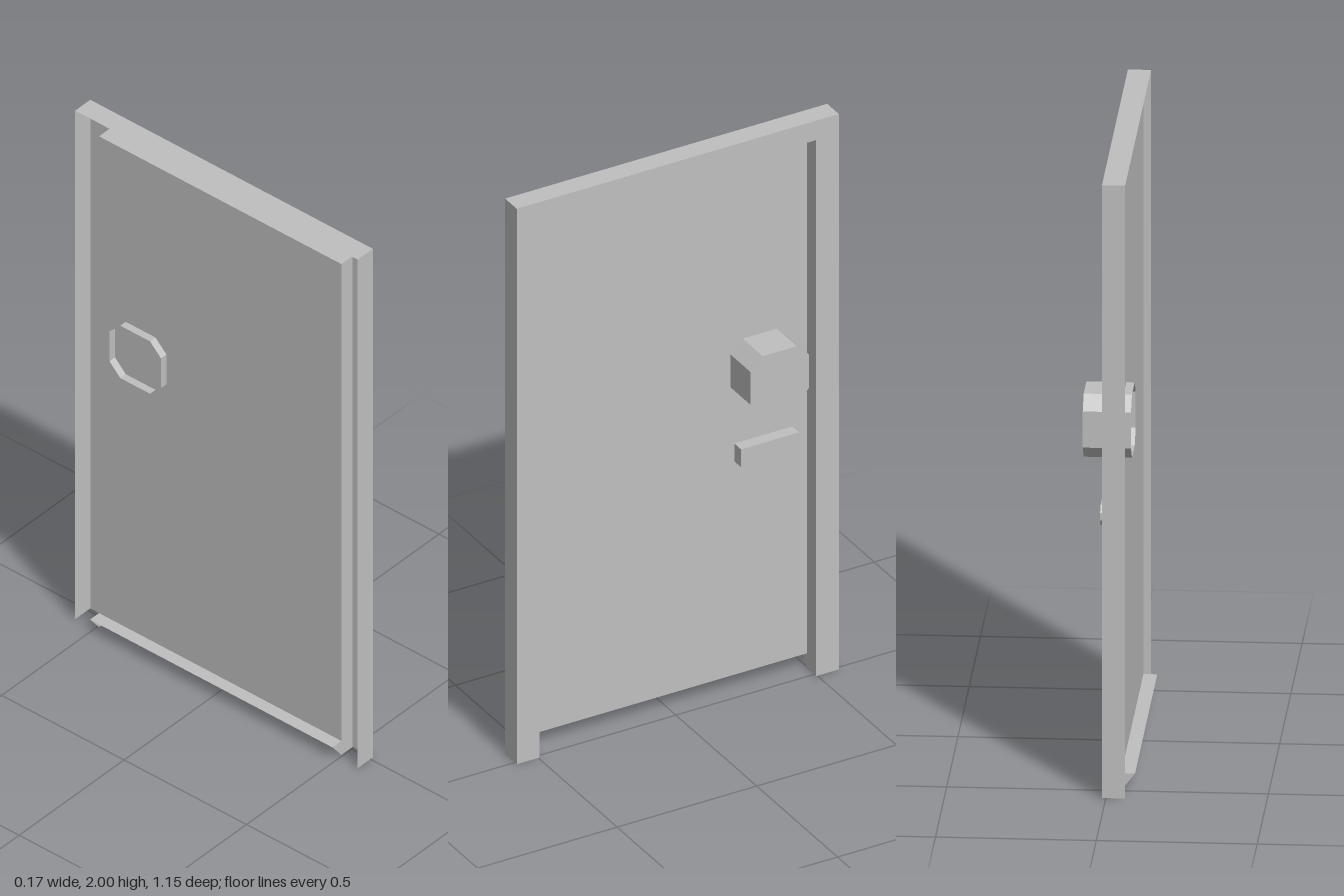
import * as THREE from 'three';

// Outlines are [u, y] points seen from the +x side, where u = -z.
const FACE = 0.012, PANEL = -0.042, BACK = -0.06, FLAP = -0.085;
const OUT = 0.577, IN = 0.495, TOP = 2, HEAD = 1.93, SILL = 0.055;

export function createModel() {
  const group = new THREE.Group();
  group.name = 'door';
  const grey = new THREE.MeshStandardMaterial({ color: 0xbfbfbf, side: THREE.DoubleSide, flatShading: true });
  grey.name = 'plain grey';

  const add = (name, geometry) => {
    const mesh = new THREE.Mesh(geometry, grey);
    mesh.name = name;
    group.add(mesh);
  };

  // Flat sheet facing +x at depth x
  const sheet = (name, outline, x) => {
    const shape = new THREE.Shape(outline.map(([u, y]) => new THREE.Vector2(u, y)));
    add(name, new THREE.ShapeGeometry(shape).rotateY(Math.PI / 2).translate(x, 0, 0));
  };

  const triangles = (name, points) => {
    const geometry = new THREE.BufferGeometry();
    geometry.setAttribute('position', new THREE.Float32BufferAttribute(points.flat(), 3));
    geometry.computeVertexNormals();
    add(name, geometry);
  };

  // Thin walls along an outline, from depth x0 (back) to x1 (front);
  // a counter-clockwise outline faces outwards
  const walls = (name, outline, x0, x1, closed = false) => {
    const points = [];
    const path = closed ? [...outline, outline[0]] : outline;
    for (let i = 0; i < path.length - 1; i++) {
      const [u, y] = path[i], [v, w] = path[i + 1];
      const a = [x0, y, -u], b = [x0, w, -v], c = [x1, w, -v], d = [x1, y, -u];
      points.push(a, b, c, a, c, d);
    }
    triangles(name, points);
  };

  // Frame: outer edge, face and reveal, open at the back
  const outer = [[OUT, 0], [OUT, TOP], [-OUT, TOP], [-OUT, 0]];
  const inner = [[-IN, 0], [-IN, HEAD], [IN, HEAD], [IN, 0]];
  sheet('frameFace', [...outer, ...inner], FACE);
  walls('frameOuterEdge', outer, BACK, FACE);
  walls('frameReveal', inner, PANEL, FACE);

  // Door leaf with its folded bottom edge and corner gussets
  sheet('doorPanel', [[-IN, SILL], [IN, SILL], [IN, HEAD], [-IN, HEAD]], PANEL);
  walls('bottomFlap', [[-IN, SILL], [IN, SILL]], FLAP, PANEL);
  for (const side of [-1, 1]) {
    const gusset = [[PANEL, 0, side * IN], [PANEL, SILL, side * IN], [FLAP, SILL, side * IN]];
    triangles(side > 0 ? 'leftGusset' : 'rightGusset', side > 0 ? gusset.reverse() : gusset);
  }

  // Eight-sided lock housing passing through the leaf, open at the back
  const lock = [
    [0.264, 1.05], [0.386, 1.05], [0.43, 1.094], [0.43, 1.212],
    [0.386, 1.256], [0.264, 1.256], [0.22, 1.212], [0.22, 1.094],
  ];
  walls('lockHousing', lock, -0.068, 0.082, true);
  sheet('lockCover', lock, 0.082);

  // Handle with a bevelled end
  const handle = [[0.218, 0.842], [0.426, 0.842], [0.442, 0.862], [0.442, 0.886], [0.426, 0.906], [0.218, 0.906]];
  walls('handleSides', handle, -0.015, 0.027, true);
  sheet('handleFace', handle, 0.027);

  return group;
}
